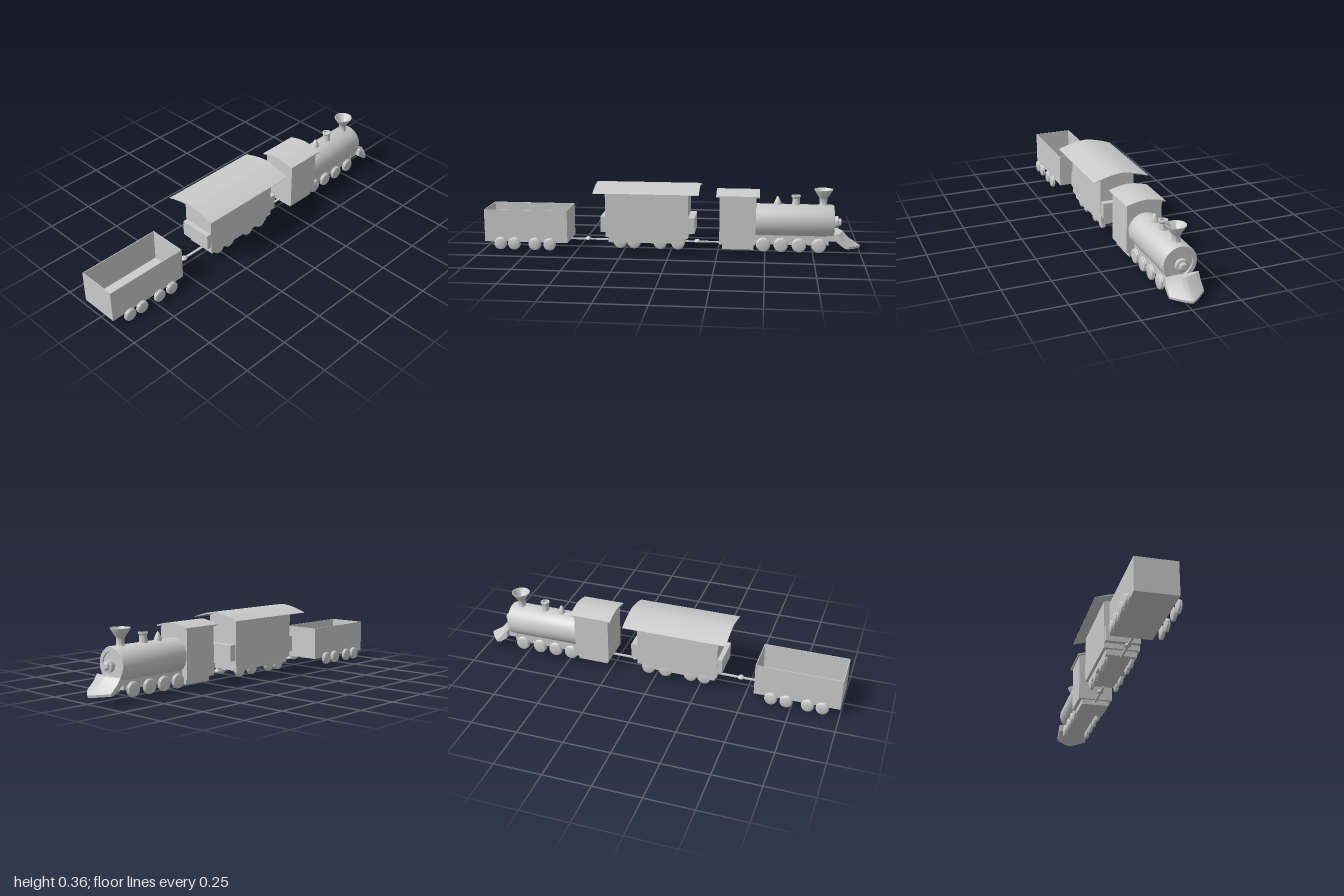
import * as THREE from 'three';
import { toCreasedNormals } from 'three/addons/utils/BufferGeometryUtils.js';

const material = new THREE.MeshStandardMaterial({ color: 0xcccccc, side: THREE.DoubleSide });

function add(parent, name, geometry, x = 0, y = 0, z = 0) {
  const mesh = new THREE.Mesh(geometry, material);
  mesh.name = name;
  mesh.position.set(x, y, z);
  parent.add(mesh);
  return mesh;
}

// Box given by its limits along each axis
function box(parent, name, x0, x1, y0, y1, z0, z1) {
  return add(parent, name, new THREE.BoxGeometry(x1 - x0, y1 - y0, z1 - z0),
    (x0 + x1) / 2, (y0 + y1) / 2, (z0 + z1) / 2);
}

const lathe = (points, segments = 32) => toCreasedNormals(
  new THREE.LatheGeometry(points.map(([r, y]) => new THREE.Vector2(r, y)), segments), 0.6);

// Arched line of points across the train
function arch(halfWidth, edgeY, topY, steps = 12) {
  return Array.from({ length: steps + 1 }, (_, i) => {
    const s = (i / steps) * 2 - 1;
    return new THREE.Vector2(s * halfWidth, topY - (topY - edgeY) * Math.abs(s) ** 1.6);
  });
}

// Cross-section run along x
function alongX(parent, name, points, x0, x1) {
  const g = new THREE.ExtrudeGeometry(new THREE.Shape(points), { depth: x1 - x0, bevelEnabled: false });
  g.rotateY(Math.PI / 2);
  return add(parent, name, toCreasedNormals(g, 0.5), x0, 0, -0.001);
}

function archedBody(parent, name, x0, x1, bottom, halfWidth, edgeY, topY) {
  const top = arch(halfWidth, edgeY, topY);
  alongX(parent, name, [new THREE.Vector2(-halfWidth, bottom),
    new THREE.Vector2(halfWidth, bottom), ...top.reverse()], x0, x1);
}

function archedRoof(parent, name, x0, x1, halfWidth, edgeY, topY, edge, middle) {
  const outer = arch(halfWidth, edgeY, topY);
  const inner = arch(halfWidth, edgeY - edge, topY - middle).reverse();
  alongX(parent, name, [...outer, ...inner], x0, x1);
}

// Grooved wheels with a shallow domed outer face, in mirrored pairs
function wheels(parent, xs, y, r, zCentre, zOffset) {
  const g = lathe([[0, -0.01], [r * 0.85, -0.01], [r, -0.007], [r, -0.003], [r * 0.92, 0],
    [r * 0.97, 0.003], [r * 0.93, 0.007], [r * 0.75, 0.009], [0, 0.011]], 28);
  for (const x of xs) for (const side of [1, -1]) {
    add(parent, 'wheel', g, x, y, zCentre + side * zOffset).rotation.x = side * Math.PI / 2;
  }
}

function coupling(parent, x0, x1, knobX) {
  box(parent, 'couplingRod', x0, x1, 0.04, 0.047, -0.006, 0.006);
  add(parent, 'couplingKnob',
    lathe([[0, -0.004], [0.017, -0.003], [0.017, 0.003], [0.01, 0.011], [0, 0.013]], 16), knobX, 0.044, 0);
}

function wagon() {
  const g = new THREE.Group();
  g.name = 'openWagon';
  const [x0, x1, y0, y1, z0, z1, t] = [-1, -0.55, 0.04, 0.215, -0.113, 0.098, 0.004];
  box(g, 'wagonFloor', x0, x1, y0, y0 + t, z0, z1);
  box(g, 'wagonSide', x0, x1, y0, y1, z0, z0 + t);
  box(g, 'wagonSide', x0, x1, y0, y1, z1 - t, z1);
  box(g, 'wagonEnd', x0, x0 + t, y0, y1, z0, z1);
  box(g, 'wagonEnd', x1 - t, x1, y0, y1, z0, z1);
  wheels(g, [-0.91, -0.835, -0.723, -0.643], 0.036, 0.034, -0.004, 0.122);
  return g;
}

function coach() {
  const g = new THREE.Group();
  g.name = 'passengerCoach';
  archedBody(g, 'coachBody', -0.345, 0.095, 0.077, 0.093, 0.335, 0.351);
  archedRoof(g, 'coachRoof', -0.4, 0.155, 0.152, 0.324, 0.36, 0.002, 0.009);
  box(g, 'coachChassis', -0.33, 0.075, 0.047, 0.08, -0.08, 0.08);
  // End balconies
  box(g, 'balcony', 0.09, 0.13, 0.105, 0.19, -0.09, 0.09);
  box(g, 'balcony', -0.37, -0.34, 0.105, 0.19, -0.09, 0.09);
  wheels(g, [-0.27, -0.195, -0.055, 0.04], 0.048, 0.036, -0.003, 0.068);
  return g;
}

// Pointed plough: one closed profile lofted across the width
function plough() {
  const across = 16, pos = [], index = [];
  const n = 7;
  for (let i = 0; i <= across; i++) {
    const s = (i / across) * 2 - 1, c = 1 - Math.abs(s) ** 1.2;
    const profile = [[0.866, 0.118], [0.876 + 0.03 * c, 0.119], [0.897 + 0.04 * c, 0.085],
      [0.933 + 0.067 * c, 0.052 - 0.008 * c], [0.932 + 0.066 * c, 0.04 - 0.008 * c],
      [0.91 + 0.05 * c, 0.045], [0.866, 0.08]];
    for (const [x, y] of profile) pos.push(x, y, -0.005 + s * 0.086);
  }
  for (let i = 0; i < across; i++) for (let j = 0; j < n; j++) {
    const a = i * n + j, b = i * n + (j + 1) % n;
    index.push(a, a + n, b, b, a + n, b + n);
  }
  for (let j = 1; j < n - 1; j++) {
    const e = across * n;
    index.push(0, j, j + 1, e, e + j + 1, e + j);
  }
  const g = new THREE.BufferGeometry();
  g.setAttribute('position', new THREE.Float32BufferAttribute(pos, 3));
  g.setIndex(index);
  return toCreasedNormals(g.toNonIndexed(), 0.6);
}

function locomotive() {
  const g = new THREE.Group();
  g.name = 'locomotive';
  // Cab
  archedBody(g, 'cab', 0.26, 0.45, 0.052, 0.093, 0.31, 0.326);
  box(g, 'cabSkirt', 0.275, 0.44, 0.024, 0.055, -0.075, 0.075);
  archedRoof(g, 'cabRoof', 0.242, 0.468, 0.104, 0.313, 0.333, 0.007, 0.009);

  // Boiler with raised front rim and recessed door
  const boiler = lathe([[0, 0], [0.088, 0], [0.088, 0.405], [0.084, 0.412], [0.064, 0.412],
    [0.062, 0.406], [0, 0.406]], 48);
  add(g, 'boiler', boiler, 0.445, 0.169, -0.004).rotation.z = -Math.PI / 2;
  box(g, 'chassis', 0.44, 0.83, 0.05, 0.1, -0.056, 0.05);
  box(g, 'frontBeam', 0.82, 0.87, 0.075, 0.11, -0.06, 0.055);
  wheels(g, [0.49, 0.582, 0.677, 0.78], 0.05, 0.038, -0.004, 0.067);

  // Headlamp
  add(g, 'headlamp', lathe([[0, 0], [0.022, 0], [0.022, 0.015], [0.032, 0.018], [0.032, 0.036],
    [0.02, 0.038], [0.02, 0.048], [0.015, 0.053], [0, 0.054]]), 0.845, 0.166, -0.004)
    .rotation.z = -Math.PI / 2;

  // Funnel and the two boiler domes
  add(g, 'funnel', lathe([[0.033, 0], [0.024, 0.012], [0.02, 0.025], [0.02, 0.05], [0.027, 0.062],
    [0.048, 0.095], [0.049, 0.1], [0.045, 0.1], [0.02, 0.06], [0, 0.058]]), 0.8, 0.24, -0.006);
  add(g, 'steamDome', lathe([[0.026, 0], [0.021, 0.015], [0.019, 0.045], [0.024, 0.052],
    [0.024, 0.06], [0.016, 0.06], [0.015, 0.05], [0, 0.05]]), 0.658, 0.245, -0.006);
  add(g, 'whistleDome', lathe([[0.022, 0], [0.02, 0.018], [0.013, 0.034], [0.006, 0.05], [0, 0.055]]),
    0.562, 0.245, -0.006);

  add(g, 'plough', plough());
  return g;
}

export function createModel() {
  const model = new THREE.Group();
  model.name = 'train';
  model.add(wagon(), coach(), locomotive());
  coupling(model, -0.56, -0.32, -0.455);
  coupling(model, 0.06, 0.285, 0.138);
  return model;
}
